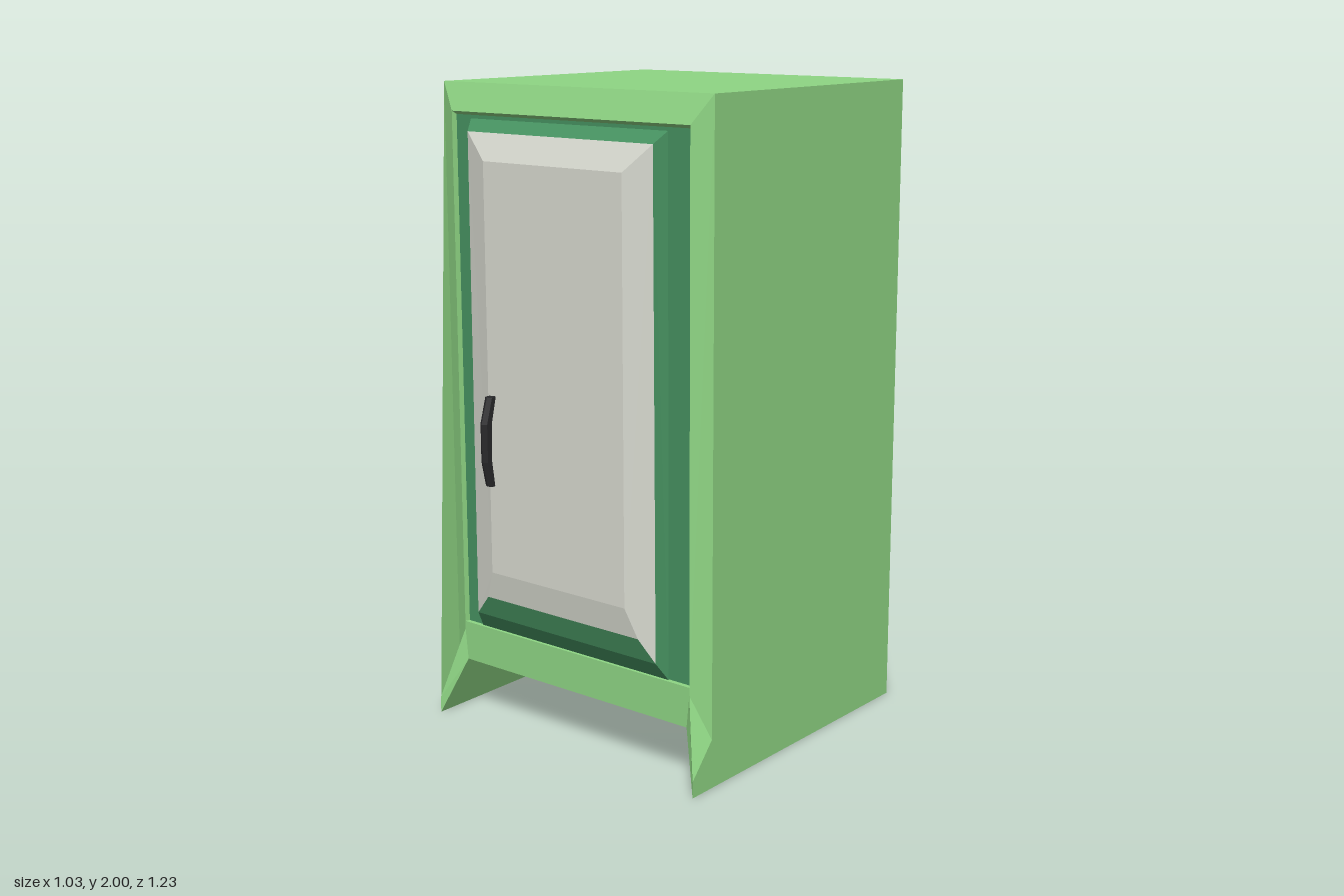
import * as THREE from 'three';

const paint = (color) => new THREE.MeshStandardMaterial({ color, flatShading: true, side: THREE.DoubleSide });

// flat-sided mesh from convex outlines, each split as a fan
function facets(name, polygons, material) {
  const pos = [];
  for (const p of polygons)
    for (let i = 1; i < p.length - 1; i++) pos.push(...p[0], ...p[i], ...p[i + 1]);
  const geo = new THREE.BufferGeometry();
  geo.setAttribute('position', new THREE.Float32BufferAttribute(pos, 3));
  geo.computeVertexNormals();
  const mesh = new THREE.Mesh(geo, material);
  mesh.name = name;
  return mesh;
}

const mirror = (polygons) => polygons.map((p) => p.map(([x, y, z]) => [-x, y, z]).reverse());
const both = (polygons) => [...polygons, ...mirror(polygons)];
// outline symmetric in x, given by its +x half as [x, y, z] from bottom to top
const span = (half) => [...half, ...half.map(([x, y, z]) => [-x, y, z]).reverse()];
// quads joining two loops of corners
const band = (a, b) => a.map((p, i) => {
  const j = (i + 1) % a.length;
  return [p, a[j], b[j], b[i]];
});

export function createModel() {
  const model = new THREE.Group();
  const green = paint(0x8fd684), darkGreen = paint(0x469160), grey = paint(0xd8dad0), black = paint(0x2a2a2c);

  // cabinet shell: side walls with flared feet
  const wall = [[0, -0.47], [2, -0.47], [2, 0.475], [0.15, 0.475], [0.05, 0.565], [0, 0.565]].map(([y, z]) => [0.515, y, z]);
  const knee = [0.455, 0.28, 0.505], heel = [0.445, 0.18, 0.505];
  model.add(facets('sideWalls', both([wall]), green));
  model.add(facets('feet', both([
    [knee, wall[4], wall[3]],
    [knee, heel, wall[5], wall[4]],
    [heel, [0.445, 0.18, -0.41], wall[0], wall[5]],
  ]), green));

  // top and floor
  model.add(facets('top', [[[-0.515, 2, 0.475], [0.515, 2, 0.475], [0.515, 2, -0.47], [-0.515, 2, -0.47]]], green));
  model.add(facets('floor', [[[-0.445, 0.18, 0.505], [-0.445, 0.18, -0.41], [0.445, 0.18, -0.41], [0.445, 0.18, 0.505]]], green));

  // sloped front frame with a shallow reveal round the door
  const lip = [0.455, 1.915, 0.505], sill = [0.455, 0.305, 0.505];
  const innerTop = [0.45, 1.905, 0.49], innerSill = [0.45, 0.305, 0.49];
  model.add(facets('frontFrame', [
    ...both([[knee, wall[3], wall[2], lip], [sill, lip, innerTop, innerSill]]),
    span([lip, wall[2]]),
    span([innerTop, lip]),
    span([sill, innerSill]),
    span([heel, knee, sill]),
  ], green));

  // inset back panel with sloped rim
  const backLow = [0.445, 0.18, -0.41], backHigh = [0.445, 1.92, -0.41];
  model.add(facets('backPanel', [
    ...both([[wall[0], backLow, backHigh, wall[1]]]),
    span([backLow, backHigh]).reverse(),
    span([backHigh, wall[1]]).reverse(),
  ], green));

  // tapered vent hood on the back, recessed at its end
  const loop = (w, y0, y1, z) => [[w, y0], [-w, y0], [-w, y1], [w, y1]].map(([x, y]) => [x - 0.007, y, z]);
  const base = loop(0.375, 0.4, 0.955, -0.41);
  const rim = loop(0.283, 0.47, 0.885, -0.615);
  const recess = loop(0.283, 0.47, 0.885, -0.565);
  model.add(facets('ventHood', [...band(base, rim), ...band(rim, recess), recess], green));

  // dark panel behind the door
  model.add(facets('doorSurround', [span([innerSill, innerTop])], darkGreen));

  // door: dark bevelled edge, pale raised panel
  const outer = [[-0.385, 0.305, 0.495], [0.37, 0.305, 0.495], [0.37, 1.895, 0.495], [-0.385, 1.895, 0.495]];
  const edge = [[-0.37, 0.36, 0.53], [0.35, 0.36, 0.53], [0.345, 1.86, 0.53], [-0.365, 1.86, 0.53]];
  const face = [[-0.27, 0.52, 0.565], [0.262, 0.52, 0.565], [0.262, 1.78, 0.565], [-0.27, 1.78, 0.565]];
  const foot = [[-0.305, 0.43, 0.55], [0.3, 0.43, 0.55]];
  model.add(facets('doorEdge', [
    ...band(outer, edge),
    [edge[0], edge[1], foot[1], foot[0]],
  ], darkGreen));
  model.add(facets('doorPanel', [
    face,
    [foot[0], foot[1], face[1], face[0]],
    [edge[2], edge[3], face[3], face[2]],
    [face[1], foot[1], edge[1], edge[2], face[2]],
    [face[0], face[3], edge[3], edge[0], foot[0]],
  ], grey));

  // bowed handle: a six-sided bar bent through four stations [y, z, half depth]
  const stations = [[0.8, 0.574, 0.012], [0.88, 0.592, 0.018], [1.0, 0.597, 0.02], [1.08, 0.58, 0.016]];
  const bar = new THREE.CylinderGeometry(1, 1, 3, 6, 3);
  const p = bar.attributes.position;
  for (let i = 0; i < p.count; i++) {
    const [y, z, d] = stations[Math.round(p.getY(i) + 1.5)];
    p.setXYZ(i, -0.253 + (y - 0.94) * 0.05 + p.getX(i) * 0.016, y, z + p.getZ(i) * d);
  }
  bar.computeVertexNormals();
  const handle = new THREE.Mesh(bar, black);
  handle.name = 'handle';
  model.add(handle);

  return model;
}
